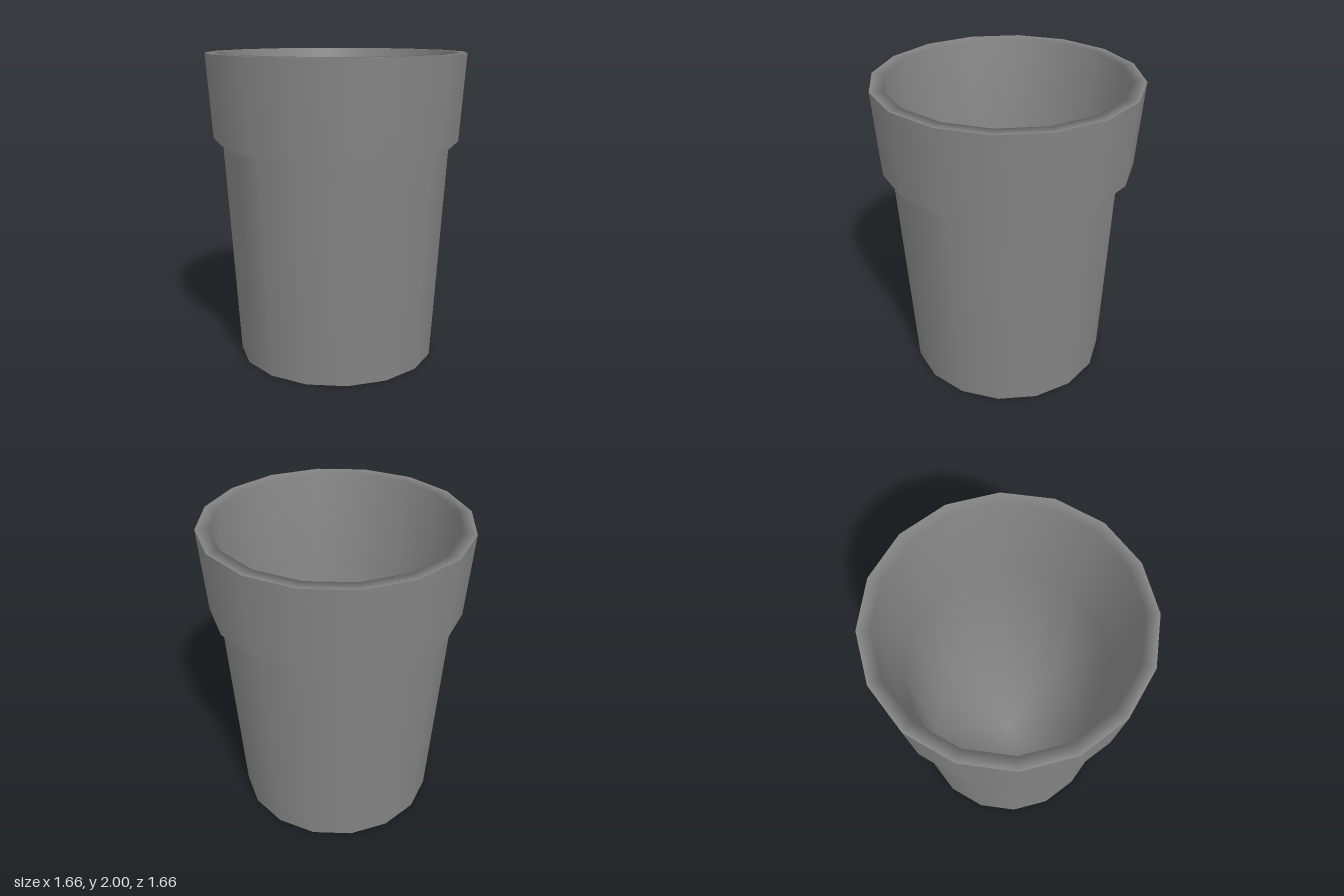
import * as THREE from 'three';

const SIDES = 16;

// Turned surface from rows of [radius, height, outward normal, upward normal];
// adjust(column, row) may return a new radius for a vertex
function turned(name, profile, material, adjust = () => undefined) {
  const points = profile.map(([r, y]) => new THREE.Vector2(r, y));
  const geometry = new THREE.LatheGeometry(points, SIDES);
  const { position, normal } = geometry.attributes;
  const direction = new THREE.Vector3();
  for (let i = 0; i <= SIDES; i++) {
    const angle = (i / SIDES) * Math.PI * 2;
    const sin = Math.sin(angle);
    const cos = Math.cos(angle);
    profile.forEach(([r, y, out, up], j) => {
      const index = i * profile.length + j;
      const radius = adjust(i % SIDES, j) ?? r;
      position.setXYZ(index, radius * sin, y, radius * cos);
      direction.set(out * sin, up, out * cos).normalize();
      normal.setXYZ(index, direction.x, direction.y, direction.z);
    });
  }
  const mesh = new THREE.Mesh(geometry, material);
  mesh.name = name;
  return mesh;
}

export function createModel() {
  const cup = new THREE.Group();
  cup.name = 'cup';
  const material = new THREE.MeshStandardMaterial({ color: 0x858585, side: THREE.DoubleSide });

  // Tapered body with the wider collar; four columns are pulled in under the
  // collar, which leaves small flat ledges there
  const notched = [0, 6, 8, 12];
  cup.add(turned('outerWall', [
    [0.653, 0, 1, -0.06],
    [0.735, 1.4, 1, -0.06],
    [0.735, 1.4, 1, -0.06],
    [0.796, 1.46, 1, -0.06],
    [0.832, 2, 1, -0.06],
  ], material, (column, row) => (row === 1 && notched.includes(column) ? 0.679 : undefined)));

  // Flat rim, stepped inner wall and floor
  cup.add(turned('rimAndInside', [
    [0.832, 2, 0, 1],
    [0.75, 2, -1, 0.15],
    [0.72, 1.43, -1, 0.1],
    [0.655, 1.35, -1, 0.1],
    [0.575, 0.08, -0.95, 0.3],
    [0, 0.08, 0, 1],
  ], material));

  // Underside
  cup.add(turned('base', [[0, 0, 0, -1], [0.653, 0, 0, -1]], material));

  return cup;
}
